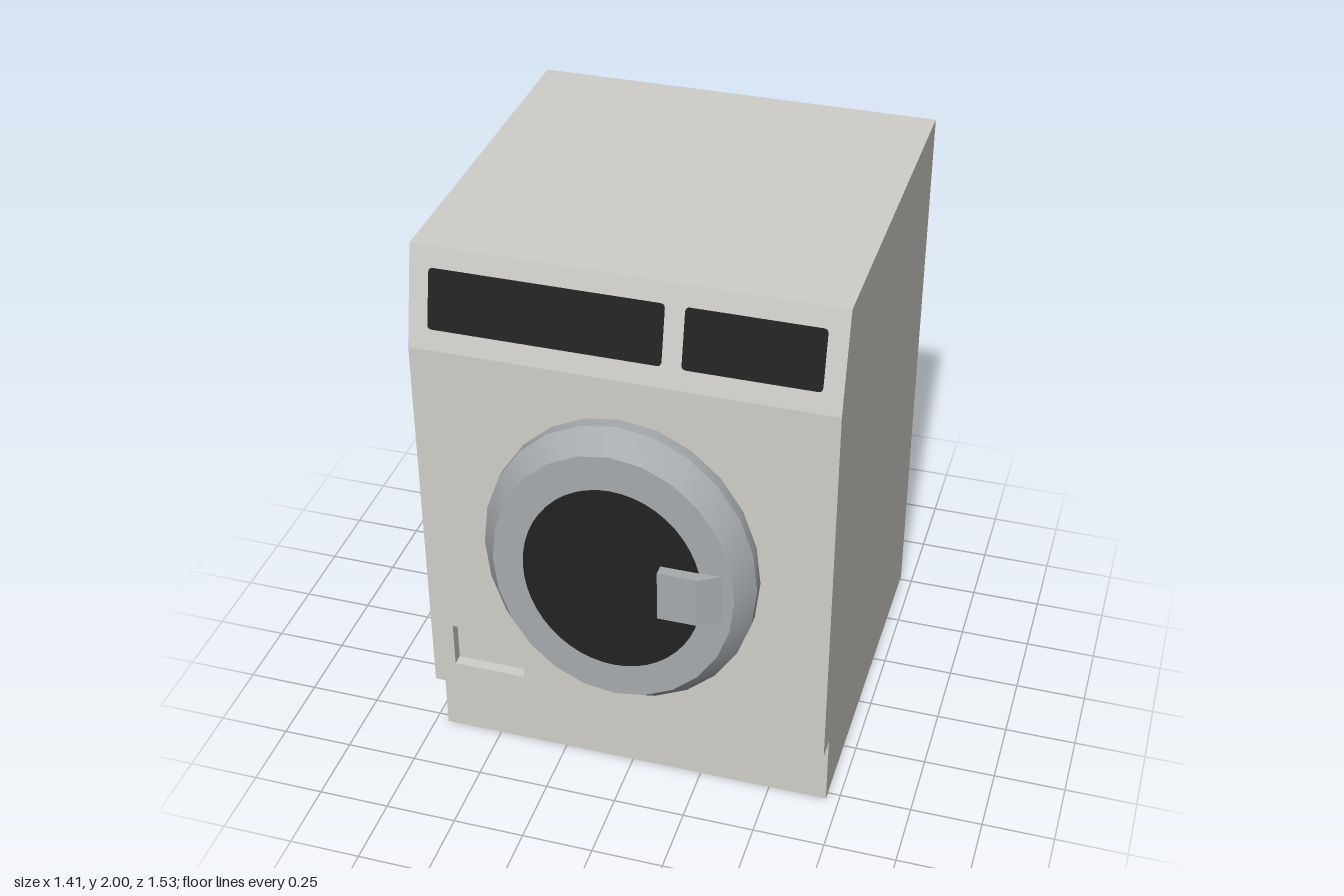
import * as THREE from 'three';
import { toCreasedNormals } from 'three/addons/utils/BufferGeometryUtils.js';

const material = (name, color) => {
  const m = new THREE.MeshStandardMaterial({ color });
  m.name = name;
  return m;
};

// Flat-shaded geometry from a list of four-cornered faces
function quadGeometry(quads) {
  const pos = [];
  for (const [a, b, c, d] of quads) pos.push(...a, ...b, ...c, ...a, ...c, ...d);
  const g = new THREE.BufferGeometry();
  g.setAttribute('position', new THREE.Float32BufferAttribute(pos, 3));
  g.computeVertexNormals();
  return g;
}

// Rectangle corners, anticlockwise seen from the front (or from the back)
function rect(x0, x1, y0, y1, z, back = false) {
  const r = [[x0, y0, z], [x1, y0, z], [x1, y1, z], [x0, y1, z]];
  return back ? r.reverse() : r;
}

// Four faces joining an outer rectangle to an inner one
const band = (outer, inner) => outer.map((p, i) => {
  const j = (i + 1) % 4;
  return [p, outer[j], inner[j], inner[i]];
});

export function createModel() {
  const casing = material('casing', 0xd0cec9);
  const metal = material('door metal', 0xa6abad);
  const black = material('dark glass', 0x232323);

  const model = new THREE.Group();
  model.name = 'washingMachine';
  const add = (name, geometry, mat, parent = model) => {
    const mesh = new THREE.Mesh(geometry, mat);
    mesh.name = name;
    parent.add(mesh);
    return mesh;
  };

  const W = 0.705, BACK = -0.767, FRONT = 0.608;
  const PLINTH_Z = 0.53, PLINTH_Y = 0.27, SLOPE_Y = 1.66, TOP_Z = 0.534;

  // Top, underside, plinth and sloped control panel: strips across the width
  const strip = ([z0, y0], [z1, y1]) => [[-W, y0, z0], [W, y0, z0], [W, y1, z1], [-W, y1, z1]];
  const strips = {
    underside: [[BACK, 0], [PLINTH_Z, 0]],
    plinth: [[PLINTH_Z, 0], [PLINTH_Z, PLINTH_Y]],
    plinthLip: [[PLINTH_Z, PLINTH_Y], [FRONT, PLINTH_Y]],
    controlPanel: [[FRONT, SLOPE_Y], [TOP_Z, 2]],
    top: [[TOP_Z, 2], [BACK, 2]],
  };
  for (const [name, [p, q]] of Object.entries(strips)) add(name, quadGeometry([strip(p, q)]), casing);

  // Side walls, mirrored
  const levels = [
    [0, PLINTH_Z, PLINTH_Y, PLINTH_Z],
    [PLINTH_Y, FRONT, SLOPE_Y, FRONT],
    [SLOPE_Y, FRONT, 2, TOP_Z],
  ];
  for (const s of [1, -1]) {
    const quads = levels.map(([y0, z0, y1, z1]) => {
      const q = [[s * W, y0, z0], [s * W, y0, BACK], [s * W, y1, BACK], [s * W, y1, z1]];
      return s > 0 ? q : q.reverse();
    });
    add(s > 0 ? 'leftSide' : 'rightSide', quadGeometry(quads), casing);
  }

  // Front wall with the recessed filter hatch
  const hatch = (z) => rect(-0.625, -0.37, 0.36, 0.53, z);
  add('frontWall', quadGeometry(band(rect(-W, W, PLINTH_Y, SLOPE_Y, FRONT), hatch(FRONT))), casing);
  add('filterHatch', quadGeometry([...band(hatch(FRONT), hatch(FRONT - 0.04)), hatch(FRONT - 0.04)]), casing);

  // Back wall with a recess that narrows inwards
  const opening = rect(-0.51, 0.51, 0.22, 1.77, BACK, true);
  const recess = rect(-0.44, 0.44, 0.33, 1.66, BACK + 0.08, true);
  add('backWall', quadGeometry(band(rect(-W, W, 0, 2, BACK, true), opening)), casing);
  add('backRecess', quadGeometry([...band(opening, recess), recess]), casing);

  // Dark display plates on the sloped panel
  const displays = new THREE.Group();
  displays.name = 'displays';
  displays.position.set(0, (SLOPE_Y + 2) / 2, (FRONT + TOP_Z) / 2);
  displays.rotation.x = -Math.atan((FRONT - TOP_Z) / (2 - SLOPE_Y));
  model.add(displays);
  for (const [name, x0, x1] of [['wideDisplay', -0.64, 0.13], ['smallDisplay', 0.195, 0.64]]) {
    const h = 0.102, c = 0.015;
    const s = new THREE.Shape();
    s.moveTo(x0 + c, -h).lineTo(x1 - c, -h).quadraticCurveTo(x1, -h, x1, -h + c);
    s.lineTo(x1, h - c).quadraticCurveTo(x1, h, x1 - c, h);
    s.lineTo(x0 + c, h).quadraticCurveTo(x0, h, x0, h - c);
    s.lineTo(x0, -h + c).quadraticCurveTo(x0, -h, x0 + c, -h);
    add(name, new THREE.ExtrudeGeometry(s, { depth: 0.003, bevelEnabled: false, curveSegments: 4 }), black, displays);
  }

  // Oval door: short rim, bevel and flat face
  const door = new THREE.Group();
  door.name = 'door';
  door.position.set(0, 0.965, 0);
  model.add(door);
  const profile = [[1, FRONT], [1, 0.65], [0.88, 0.726], [0, 0.726]].map(([r, z]) => new THREE.Vector2(r, z));
  const rim = new THREE.LatheGeometry(profile, 24);
  rim.scale(0.467, 1, 0.552).rotateX(Math.PI / 2);
  add('doorRim', toCreasedNormals(rim, 0.5), metal, door);

  const glass = new THREE.CircleGeometry(1, 48);
  glass.scale(0.305, 0.358, 1);
  add('doorGlass', glass, black, door).position.z = 0.729;

  // Door handle with a slanted outer end
  const grip = new THREE.Shape([[0.165, 0.726], [0.37, 0.726], [0.298, 0.767], [0.165, 0.767]]
    .map(([x, z]) => new THREE.Vector2(x, z)));
  const handle = new THREE.ExtrudeGeometry(grip, { depth: 0.185, bevelEnabled: false });
  handle.rotateX(Math.PI / 2);
  add('doorHandle', handle, metal).position.y = 1.06;

  return model;
}
